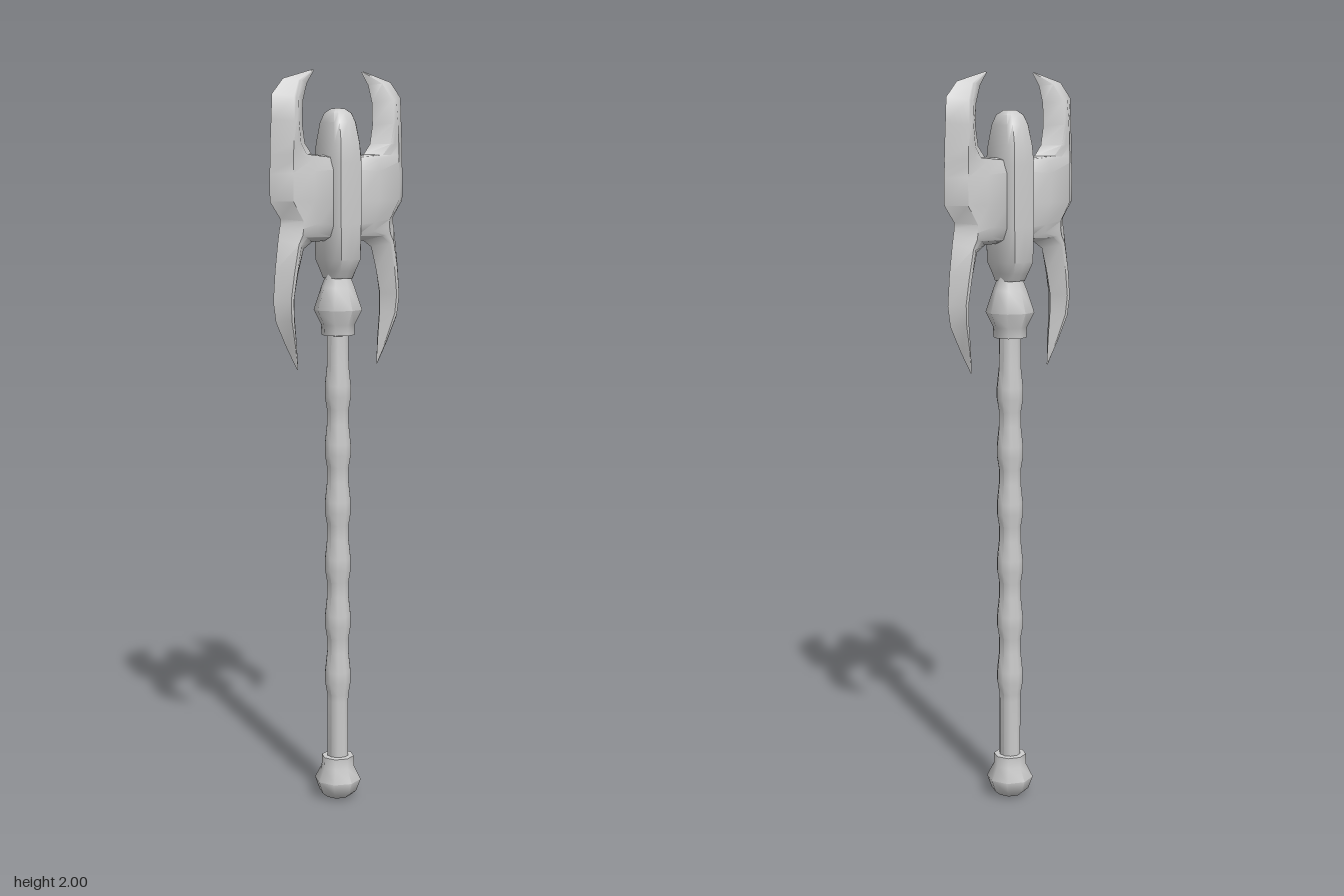
import * as THREE from 'three';
import { toCreasedNormals } from 'three/addons/utils/BufferGeometryUtils.js';

const material = new THREE.MeshStandardMaterial({ color: 0xcccccc, side: THREE.DoubleSide });

function addMesh(parent, name, geometry, crease = 0.95) {
  const mesh = new THREE.Mesh(toCreasedNormals(geometry, crease), material);
  mesh.name = name;
  parent.add(mesh);
  return mesh;
}

// Turned part from [radius, y] pairs, listed from bottom to top
function turned(points, sides = 8) {
  return new THREE.LatheGeometry(points.map(([r, y]) => new THREE.Vector2(r, y)), sides);
}

// Skin over equal-length rings of [x, y, z], closed at both ends.
// Rings run from bottom to top, each counter-clockwise seen from above.
function loft(rings) {
  const n = rings[0].length;
  const index = [];
  for (let r = 0; r < rings.length - 1; r++) {
    for (let i = 0; i < n; i++) {
      const a = r * n + i, b = r * n + (i + 1) % n;
      index.push(a, b, b + n, a, b + n, a + n);
    }
  }
  const last = (rings.length - 1) * n;
  for (let i = 1; i < n - 1; i++) {
    index.push(0, i + 1, i, last, last + i, last + i + 1);
  }
  const geometry = new THREE.BufferGeometry();
  geometry.setAttribute('position', new THREE.Float32BufferAttribute(rings.flat(2), 3));
  geometry.setIndex(index);
  return geometry;
}

// Chamfered section of the central head block
function coreRing([y, hx, hz]) {
  const cx = hx * 0.72, cz = hz * 0.74;
  return [
    [hx, y, 0], [hx, y, -cz], [cx, y, -hz], [0, y, -hz * 1.03], [-cx, y, -hz], [-hx, y, -cz],
    [-hx, y, 0], [-hx, y, cz], [-cx, y, hz], [0, y, hz * 1.03], [cx, y, hz], [hx, y, cz],
  ];
}

// Blade section: sharp outer and inner edges with a thick middle.
// [outer x, outer y, inner x, inner y, outer thickness, inner thickness]
function bladeRing([ox, oy, ix, iy, t, ti = t]) {
  const w = ox - ix;
  const bo = Math.min(0.045, w * 0.45) / w;
  const bi = 1 - Math.min(0.04, w * 0.42) / w;
  const at = (u, z) => [ox - w * u, oy + (iy - oy) * u, z];
  const mid = (bo + bi) / 2;
  return [
    at(0, 0), at(bo, -t), at(mid, -(t + ti) / 2), at(bi, -ti),
    at(1, 0), at(bi, ti), at(mid, (t + ti) / 2), at(bo, t),
  ];
}

export function createModel() {
  const model = new THREE.Group();
  model.name = 'doubleBladedAxe';

  // Pommel
  addMesh(model, 'pommel', turned([
    [0, 0], [0.035, 0.004], [0.052, 0.018], [0.065, 0.053],
    [0.046, 0.09], [0.045, 0.12], [0.028, 0.122],
  ]));

  // Grip with evenly spaced swellings
  const grip = [[0.03, 0.11], [0.03, 0.28]];
  for (let i = 0; i < 6; i++) {
    const y = 0.34 + i * 0.16;
    grip.push([0.031, y - 0.04], [0.037, y - 0.005], [0.037, y + 0.025], [0.031, y + 0.08]);
  }
  grip.push([0.03, 1.32]);
  addMesh(model, 'grip', turned(grip, 10));

  // Collar beneath the head
  addMesh(model, 'collar', turned([
    [0.028, 1.3], [0.045, 1.302], [0.046, 1.33], [0.066, 1.37],
    [0.046, 1.43], [0.032, 1.465], [0.025, 1.5],
  ]));

  // Central block of the head
  addMesh(model, 'headCore', loft([
    [1.455, 0.03, 0.036], [1.475, 0.034, 0.046], [1.505, 0.043, 0.059], [1.6, 0.046, 0.06],
    [1.76, 0.046, 0.06], [1.81, 0.042, 0.056], [1.865, 0.036, 0.043],
    [1.89, 0.029, 0.03], [1.902, 0.014, 0.014],
  ].map(coreRing)), 0.8);

  // Blade: lower horn, bridge into the core, then upper horn
  const rows = [
    [0.134, 1.215, 0.131, 1.218, 0.001],
    [0.168, 1.275, 0.136, 1.29, 0.02],
    [0.202, 1.345, 0.142, 1.36, 0.035],
    [0.21, 1.4, 0.142, 1.41, 0.039],
    [0.204, 1.48, 0.13, 1.47, 0.042],
    [0.194, 1.56, 0.112, 1.535, 0.043, 0.04],
    [0.19, 1.585, 0.085, 1.553, 0.043, 0.035],
    [0.187, 1.6, 0, 1.557, 0.043, 0.028],
    [0.187, 1.615, 0, 1.59, 0.043],
    [0.219, 1.66, 0, 1.66, 0.043],
    [0.219, 1.73, 0, 1.745, 0.043],
    [0.218, 1.76, 0, 1.777, 0.043, 0.028],
    [0.218, 1.78, 0.085, 1.782, 0.043, 0.034],
    [0.217, 1.81, 0.107, 1.81, 0.043, 0.04],
    [0.214, 1.87, 0.115, 1.86, 0.043],
    [0.211, 1.935, 0.113, 1.92, 0.038],
    [0.176, 1.975, 0.1, 1.965, 0.021],
    [0.085, 2, 0.077, 1.999, 0.001],
  ];
  for (const side of [1, -1]) {
    let rings = rows.map(bladeRing);
    // Mirrored rings are reversed so the faces keep pointing outward
    if (side < 0) rings = rings.map(ring => ring.map(([x, y, z]) => [-x, y, z]).reverse());
    addMesh(model, side > 0 ? 'leftBlade' : 'rightBlade', loft(rings), 0.85);
  }

  return model;
}
